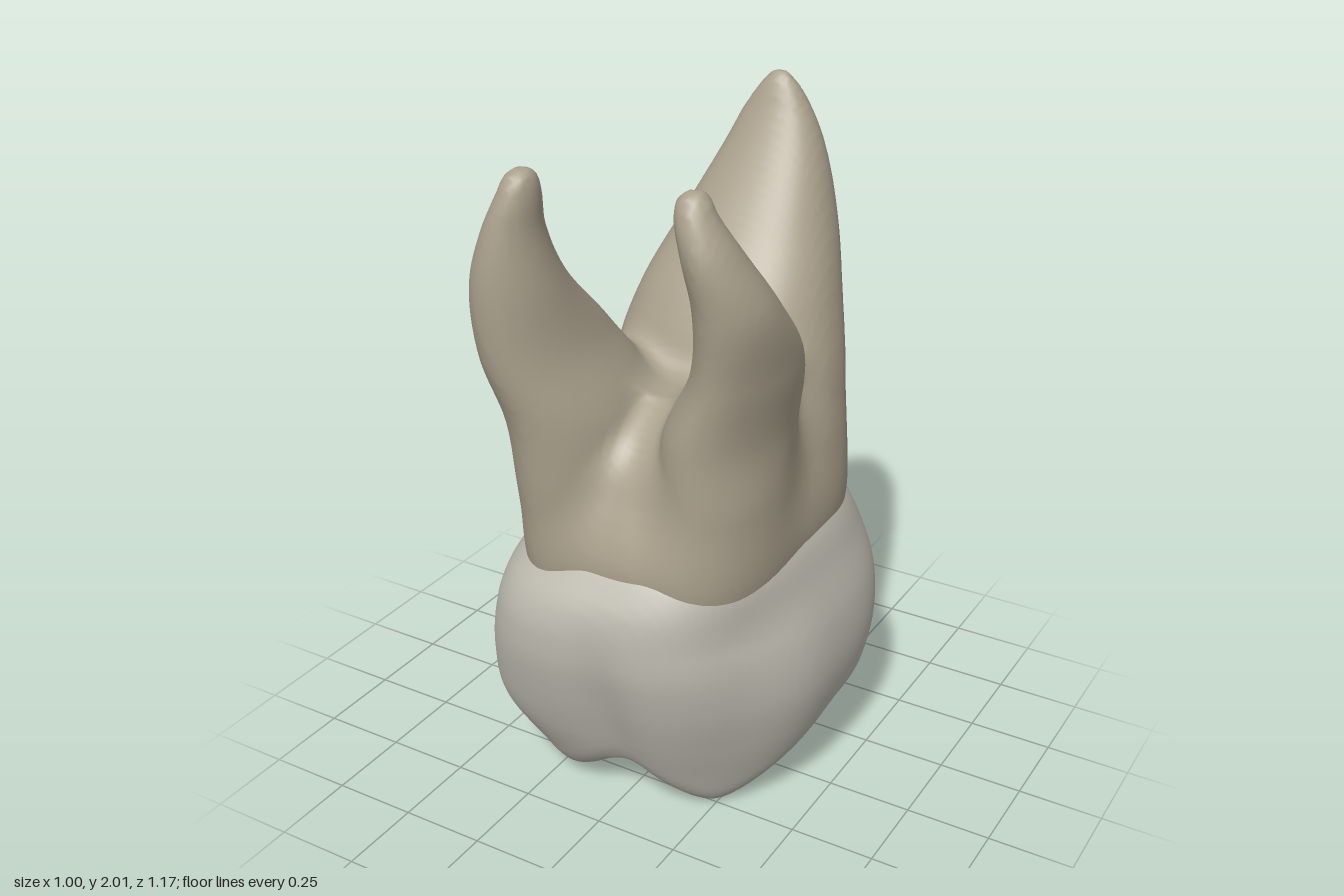
import * as THREE from 'three';

// Smooth union / intersection of two distance values
const smin = (a, b, k) => {
  const h = Math.max(k - Math.abs(a - b), 0) / k;
  return Math.min(a, b) - h * h * k / 4;
};
const smax = (a, b, k) => -smin(-a, -b, k);
const bell = (d, w) => Math.exp(-(d * d) / (w * w));

// Solid made of rounded cross-sections, each row [y, xMin, xMax, zMin, zMax]
function stack(rows, power) {
  const spline = new THREE.CubicInterpolant(
    rows.map(r => r[0]), rows.flatMap(r => r.slice(1)), 4, new Float32Array(4));
  const bottom = rows[0][0], top = rows[rows.length - 1][0];
  return (x, y, z) => {
    const [x0, x1, z0, z1] = spline.evaluate(Math.min(top, Math.max(bottom, y)));
    const rx = (x1 - x0) / 2, rz = (z1 - z0) / 2;
    const u = Math.abs(x - (x0 + x1) / 2) / rx, w = Math.abs(z - (z0 + z1) / 2) / rz;
    const side = (Math.pow(Math.pow(u, power) + Math.pow(w, power), 1 / power) - 1) * Math.min(rx, rz);
    return Math.max(side, y - top, bottom - y);
  };
}

// Skin of a solid: one vertex per grid cell that the surface crosses
function skin(field, min, max, step) {
  const n = min.map((m, a) => Math.ceil((max[a] - m) / step) + 1);
  const stride = [1, n[0], n[0] * n[1]];
  const values = new Float32Array(n[0] * n[1] * n[2]);
  const ids = new Int32Array(values.length).fill(-1);
  const eachPoint = fn => {
    for (let k = 0, g = 0; k < n[2]; k++)
      for (let j = 0; j < n[1]; j++)
        for (let i = 0; i < n[0]; i++, g++) fn(g, [i, j, k]);
  };
  eachPoint((g, c) => {
    values[g] = field(...c.map((v, a) => min[a] + v * step));
  });

  const positions = [], index = [];
  const offset = c => (c & 1) * stride[0] + (c >> 1 & 1) * stride[1] + (c >> 2) * stride[2];
  eachPoint((g, cell) => {
    if (cell.some((v, a) => v >= n[a] - 1)) return;
    const sum = [0, 0, 0];
    let count = 0;
    for (let c = 0; c < 8; c++) for (let a = 0; a < 3; a++) {
      if (c >> a & 1) continue;
      const v0 = values[g + offset(c)], v1 = values[g + offset(c | 1 << a)];
      if ((v0 < 0) === (v1 < 0)) continue;
      for (let b = 0; b < 3; b++) sum[b] += (c >> b & 1) + (a === b ? v0 / (v0 - v1) : 0);
      count++;
    }
    if (!count) return;
    const p = cell.map((v, a) => min[a] + (v + sum[a] / count) * step);
    // pull the vertex onto the true surface
    for (let pass = 0; pass < 2; pass++) {
      const f = field(...p), e = 0.004;
      const grad = p.map((_, a) => {
        const q = [...p];
        q[a] += e;
        return (field(...q) - f) / e;
      });
      const len2 = Math.max(0.05, grad.reduce((s, v) => s + v * v, 0));
      grad.forEach((v, a) => {
        p[a] -= THREE.MathUtils.clamp(f * v / len2, -step / 3, step / 3);
      });
    }
    ids[g] = positions.length / 3;
    positions.push(...p);
  });

  eachPoint((g, c) => {
    if (c.some((v, a) => v < 1 || v >= n[a] - 1)) return;
    for (let a = 0; a < 3; a++) {
      const inside = values[g] < 0;
      if (inside === (values[g + stride[a]] < 0)) continue;
      const sb = stride[(a + 1) % 3], sc = stride[(a + 2) % 3];
      const q = [g, g - sb, g - sb - sc, g - sc].map(i => ids[i]);
      if (!inside) q.reverse();
      index.push(q[0], q[1], q[2], q[0], q[2], q[3]);
    }
  });

  const geometry = new THREE.BufferGeometry();
  geometry.setAttribute('position', new THREE.Float32BufferAttribute(positions, 3));
  geometry.setIndex(index);
  geometry.computeVertexNormals();
  return geometry;
}

// Crown: bulging body cut from below by a chewing surface with four cusps
const crownBody = stack([
  [-0.06, -0.30, 0.33, -0.42, 0.33],
  [0.10, -0.40, 0.41, -0.47, 0.395],
  [0.25, -0.50, 0.47, -0.54, 0.46],
  [0.40, -0.50, 0.50, -0.575, 0.51],
  [0.55, -0.47, 0.49, -0.58, 0.54],
  [0.70, -0.42, 0.445, -0.54, 0.53],
  [0.79, -0.37, 0.415, -0.485, 0.485],
  [0.87, -0.32, 0.37, -0.43, 0.43]
], 2.8);
const cusps = [[-0.22, 0.01, 0.33], [0.25, -0.02, 0.25], [0.25, 0.07, -0.38], [-0.28, 0.14, -0.33]];

function chewingHeight(x, z) {
  let h = 1;
  for (const [cx, cy, cz] of cusps) {
    const d = Math.hypot(x - cx, z - cz, 0.05) - 0.05;
    h = smin(h, cy + 0.7 * d, 0.03);
  }
  // ridges along the rim join neighbouring cusps
  const rims = [0.16 + 0.8 * Math.abs(x - 0.40), 0.21 + 0.8 * Math.abs(x + 0.40),
    0.11 + 0.8 * Math.abs(z - 0.38), 0.17 + 0.8 * Math.abs(z + 0.44)];
  for (const rim of rims) h = smin(h, rim, 0.03);
  return h + 0.04 * bell(Math.hypot(x, z), 0.2);
}

function crownField(x, y, z) {
  const fade = THREE.MathUtils.smoothstep(0.75 - y, 0, 0.5);
  const groove = z > 0 ? 0.025 * bell(x - 0.02, 0.08) : 0.03 * bell(x + 0.15, 0.07);
  // flatter front left corner and hollow right flank
  const neck = THREE.MathUtils.smoothstep(0.9 - y, 0.05, 0.3);
  const corner = 0.035 * neck * bell(Math.hypot(x - 0.44, z - 0.34), 0.2);
  const flank = 0.03 * bell(Math.hypot(x + 0.5, z + 0.2), 0.17);
  // the front face runs at a slight slant
  const slant = 0.1 * x * neck * THREE.MathUtils.smoothstep(z, 0, 0.35);
  const side = crownBody(x, y, z + slant) + groove * fade * Math.min(1, Math.abs(z) * 4) + corner + flank;
  return smax(side, (chewingHeight(x, z) - y) * 0.8, 0.06);
}

// Root trunk and the three roots that part from it
const trunk = stack([
  [0.60, -0.30, 0.34, -0.40, 0.40],
  [0.80, -0.36, 0.405, -0.475, 0.475],
  [1.00, -0.32, 0.38, -0.44, 0.42],
  [1.14, -0.27, 0.33, -0.38, 0.34],
  [1.23, -0.20, 0.25, -0.30, 0.20]
], 2.5);
const frontRightRoot = stack([
  [0.65, -0.33, -0.02, 0.00, 0.45],
  [1.00, -0.345, 0.00, 0.00, 0.50],
  [1.20, -0.36, -0.01, -0.02, 0.525],
  [1.40, -0.385, -0.09, 0.10, 0.57],
  [1.60, -0.36, -0.13, 0.29, 0.585],
  [1.75, -0.30, -0.15, 0.38, 0.57],
  [1.85, -0.25, -0.148, 0.415, 0.545],
  [1.89, -0.23, -0.155, 0.435, 0.525],
  [1.907, -0.21, -0.17, 0.455, 0.505]
], 1.9);
const frontLeftRoot = stack([
  [0.65, 0.10, 0.36, 0.00, 0.41],
  [1.00, 0.08, 0.405, -0.02, 0.435],
  [1.20, 0.09, 0.41, -0.06, 0.44],
  [1.40, 0.19, 0.44, 0.01, 0.44],
  [1.60, 0.235, 0.44, 0.20, 0.47],
  [1.75, 0.23, 0.38, 0.31, 0.49],
  [1.85, 0.22, 0.325, 0.365, 0.475],
  [1.89, 0.23, 0.305, 0.38, 0.455],
  [1.905, 0.25, 0.29, 0.395, 0.44]
], 1.9);
const backRoot = stack([
  [0.65, -0.30, 0.33, -0.44, 0.00],
  [1.00, -0.335, 0.37, -0.46, 0.03],
  [1.20, -0.325, 0.36, -0.48, 0.04],
  [1.40, -0.27, 0.32, -0.505, -0.03],
  [1.60, -0.18, 0.27, -0.515, -0.16],
  [1.80, -0.08, 0.21, -0.485, -0.28],
  [1.90, -0.03, 0.165, -0.455, -0.33],
  [1.97, 0.02, 0.12, -0.425, -0.36],
  [2.00, 0.05, 0.09, -0.40, -0.38]
], 2.2);

function rootField(x, y, z) {
  // shallow groove down the outside of the back root
  const dent = z < -0.3 ? 0.02 * bell(x - 0.04, 0.06) * bell(y - 1.35, 0.35) * Math.min(1, (-0.3 - z) * 8) : 0;
  let f = trunk(x, y, z);
  for (const root of [frontRightRoot, frontLeftRoot, backRoot]) f = smin(f, root(x, y, z), 0.07);
  return f + dent;
}

export function createModel() {
  const group = new THREE.Group();
  const add = (name, geometry, color) => {
    const mesh = new THREE.Mesh(geometry, new THREE.MeshStandardMaterial({ color }));
    mesh.name = name;
    group.add(mesh);
  };
  add('crown', skin(crownField, [-0.57, -0.1, -0.66], [0.57, 0.95, 0.64], 0.017), 0xbebbb0);
  add('roots', skin(rootField, [-0.47, 0.55, -0.6], [0.53, 2.07, 0.68], 0.017), 0xaba18d);
  return group;
}
